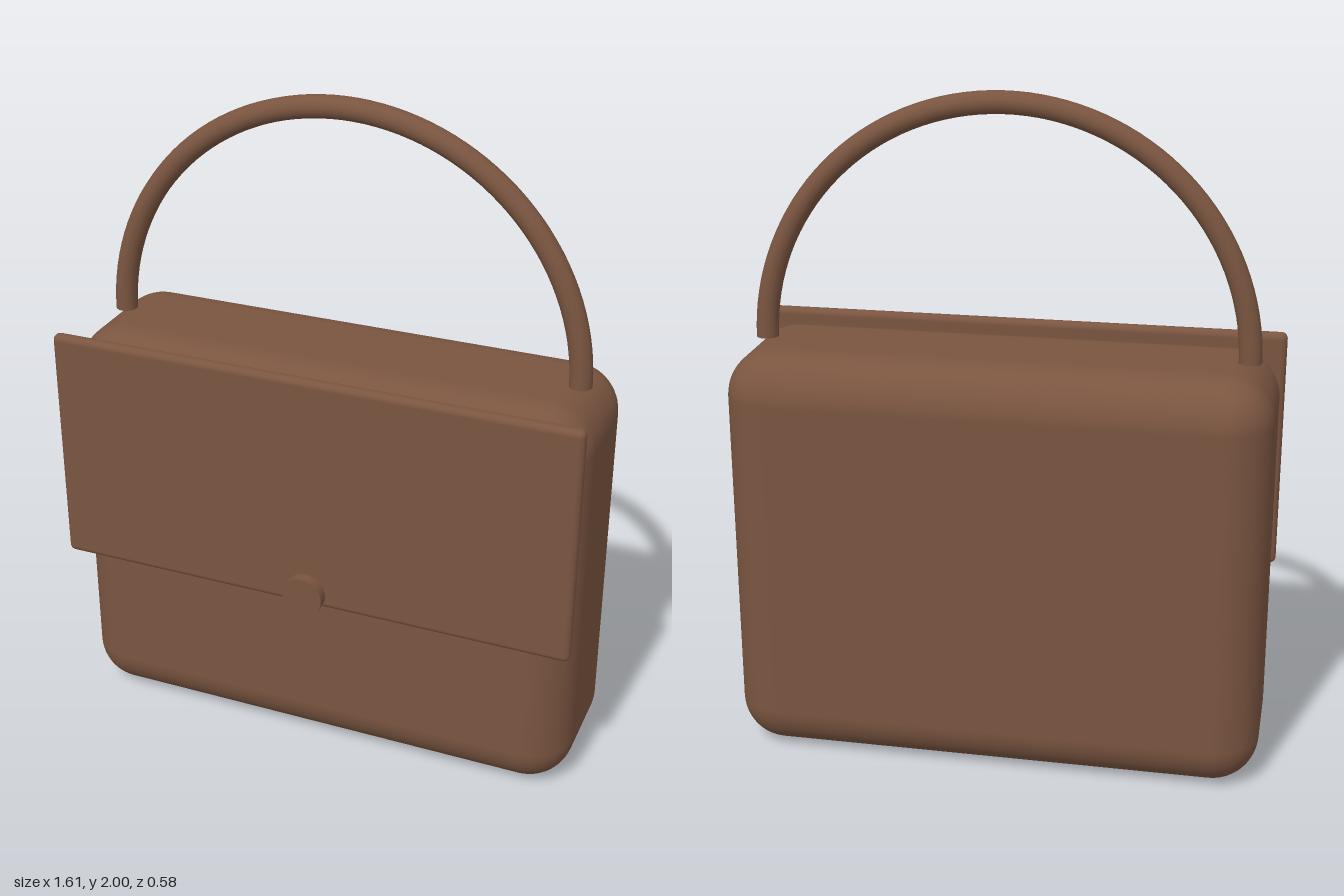
import * as THREE from 'three';
import { RoundedBoxGeometry } from 'three/addons/geometries/RoundedBoxGeometry.js';

export function createModel() {
  const bag = new THREE.Group();
  bag.name = 'handbag';

  const leather = new THREE.MeshStandardMaterial({ color: 0x7a5540 });
  leather.name = 'brown leather';

  const add = (name, geometry, x, y, z) => {
    const mesh = new THREE.Mesh(geometry, leather);
    mesh.name = name;
    mesh.position.set(x, y, z);
    bag.add(mesh);
    return mesh;
  };

  // Soft-cornered body
  add('body', new RoundedBoxGeometry(1.59, 1.255, 0.51, 8, 0.14), 0, 0.6275, -0.035);

  // Front flap, slightly wider and taller than the body
  add('flap', new RoundedBoxGeometry(1.61, 0.74, 0.04, 5, 0.019), 0, 0.9, 0.24);

  // Round clasp over the lower edge of the flap
  const clasp = add('clasp', new THREE.CylinderGeometry(0.062, 0.062, 0.034, 32), 0, 0.574, 0.275);
  clasp.rotation.x = Math.PI / 2;

  // Half-ring handle rising from the top
  const R = 0.712, r = 0.033, top = 1.255;
  add('handle', new THREE.TorusGeometry(R, r, 16, 64, Math.PI), 0, top, -0.035);

  // Caps closing the handle ends
  for (const side of [-1, 1]) {
    const cap = add('handleEnd', new THREE.CircleGeometry(r, 16), side * R, top, -0.035);
    cap.rotation.x = Math.PI / 2;
  }

  return bag;
}
